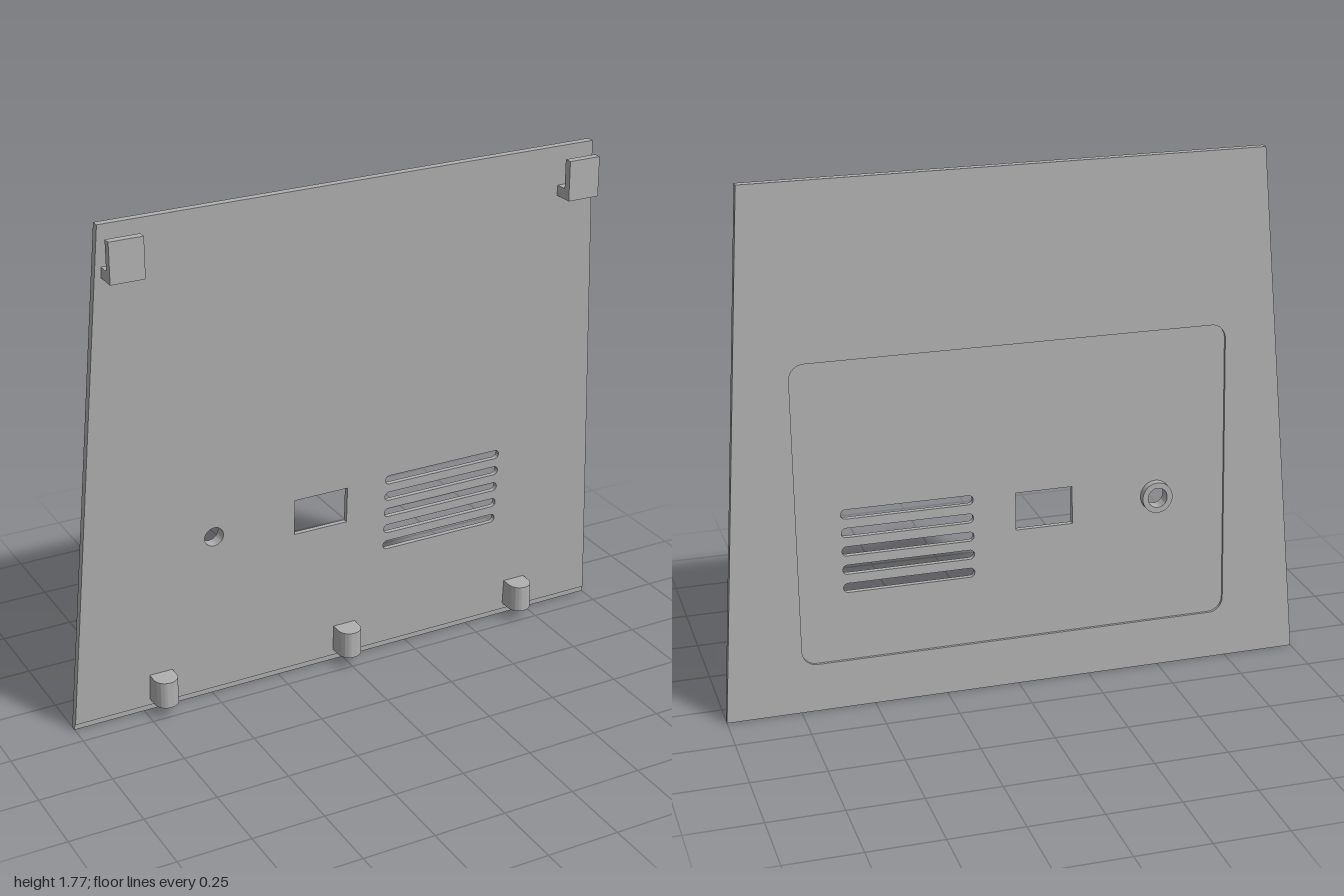
import * as THREE from 'three';
import { toCreasedNormals } from 'three/addons/utils/BufferGeometryUtils.js';

const HEIGHT = 1.775, SLOPE = 0.0603, BACK = -0.097;

// Rounded rectangle traced into a Shape or Path
function roundRect(p, x0, y0, x1, y1, r) {
  p.moveTo(x0 + r, y0);
  p.lineTo(x1 - r, y0);
  p.absarc(x1 - r, y0 + r, r, -Math.PI / 2, 0);
  p.lineTo(x1, y1 - r);
  p.absarc(x1 - r, y1 - r, r, 0, Math.PI / 2);
  p.lineTo(x0 + r, y1);
  p.absarc(x0 + r, y1 - r, r, Math.PI / 2, Math.PI);
  p.lineTo(x0, y0 + r);
  p.absarc(x0 + r, y0 + r, r, Math.PI, Math.PI * 1.5);
  return p;
}

function rect(p, x0, y0, x1, y1) {
  p.moveTo(x0, y0);
  p.lineTo(x1, y0);
  p.lineTo(x1, y1);
  p.lineTo(x0, y1);
  p.closePath();
  return p;
}

const circle = (p, x, y, r) => p.absarc(x, y, r, 0, Math.PI * 2);

// Tapered panel outline, starting at height y0
function outline(y0) {
  const w = 1 - 0.125 * y0 / HEIGHT;
  const s = new THREE.Shape();
  s.moveTo(-w, y0);
  s.lineTo(w, y0);
  s.lineTo(0.875, HEIGHT);
  s.lineTo(-0.875, HEIGHT);
  s.closePath();
  return s;
}

// Round hole, window and five vent slots
function openings() {
  const holes = [
    circle(new THREE.Path(), -0.495, 0.613, 0.034),
    rect(new THREE.Path(), -0.2, 0.547, -0.003, 0.677),
  ];
  for (let i = 0; i < 5; i++) {
    const y = 0.416 + i * 0.0637;
    holes.push(roundRect(new THREE.Path(), 0.143, y - 0.016, 0.59, y + 0.016, 0.0155));
  }
  return holes;
}

export function createModel() {
  const group = new THREE.Group();
  const grey = new THREE.MeshStandardMaterial({ color: 0xb0b0b0 });
  grey.name = 'grey';
  const lean = new THREE.Matrix4().set(1, 0, 0, 0, 0, 1, 0, 0, 0, SLOPE, 1, BACK, 0, 0, 0, 1);

  function add(name, geometry) {
    const mesh = new THREE.Mesh(geometry, grey);
    mesh.name = name;
    group.add(mesh);
    return mesh;
  }

  // Slab between two depths measured from the back face, leaned with the panel
  function slab(name, shape, holes, z0, z1) {
    shape.holes = holes;
    const g = new THREE.ExtrudeGeometry(shape, { depth: z1 - z0, bevelEnabled: false, curveSegments: 20 });
    g.translate(0, 0, z0);
    g.applyMatrix4(lean);
    return add(name, toCreasedNormals(g, 0.6));
  }

  // Panel layers: recessed back, solid core, front skin with a bottom rebate
  slab('panelBackFrame', outline(0), [roundRect(new THREE.Path(), -0.74, 0.165, 0.74, 1.19, 0.05)], 0, 0.009);
  slab('panelCore', outline(0), openings(), 0.009, 0.021);
  slab('panelFrontSkin', outline(0.022), openings(), 0.021, 0.027);

  // Collar around the round hole, on the back
  slab('holeCollar', circle(new THREE.Shape(), -0.495, 0.613, 0.053),
    [circle(new THREE.Path(), -0.495, 0.613, 0.034)], -0.017, 0.01);

  // Round-fronted pegs along the bottom
  for (const x of [-0.69, 0, 0.69]) {
    const s = new THREE.Shape();
    s.moveTo(-0.041, 0.068);
    s.lineTo(-0.041, 0.025);
    s.absarc(0, 0.025, 0.041, Math.PI, Math.PI * 2);
    s.lineTo(0.041, 0.068);
    s.closePath();
    const g = new THREE.ExtrudeGeometry(s, { depth: 0.095, bevelEnabled: false, curveSegments: 20 });
    g.rotateX(-Math.PI / 2);
    add('bottomPeg', toCreasedNormals(g, 0.6)).position.set(x, 0.045, 0);
  }

  // L-shaped hooks at the top corners
  for (const side of [-1, 1]) {
    const s = new THREE.Shape();
    s.moveTo(0.022, 1.602);
    s.lineTo(0.097, 1.602);
    s.lineTo(0.097, 1.738);
    s.lineTo(0.07, 1.738);
    s.lineTo(0.07, 1.638);
    s.lineTo(0.022, 1.638);
    s.closePath();
    const g = new THREE.ExtrudeGeometry(s, { depth: 0.114, bevelEnabled: false });
    g.translate(0, 0, -0.057);
    g.rotateY(-Math.PI / 2);
    add('topHook', g).position.x = side * 0.808;
  }
  return group;
}
